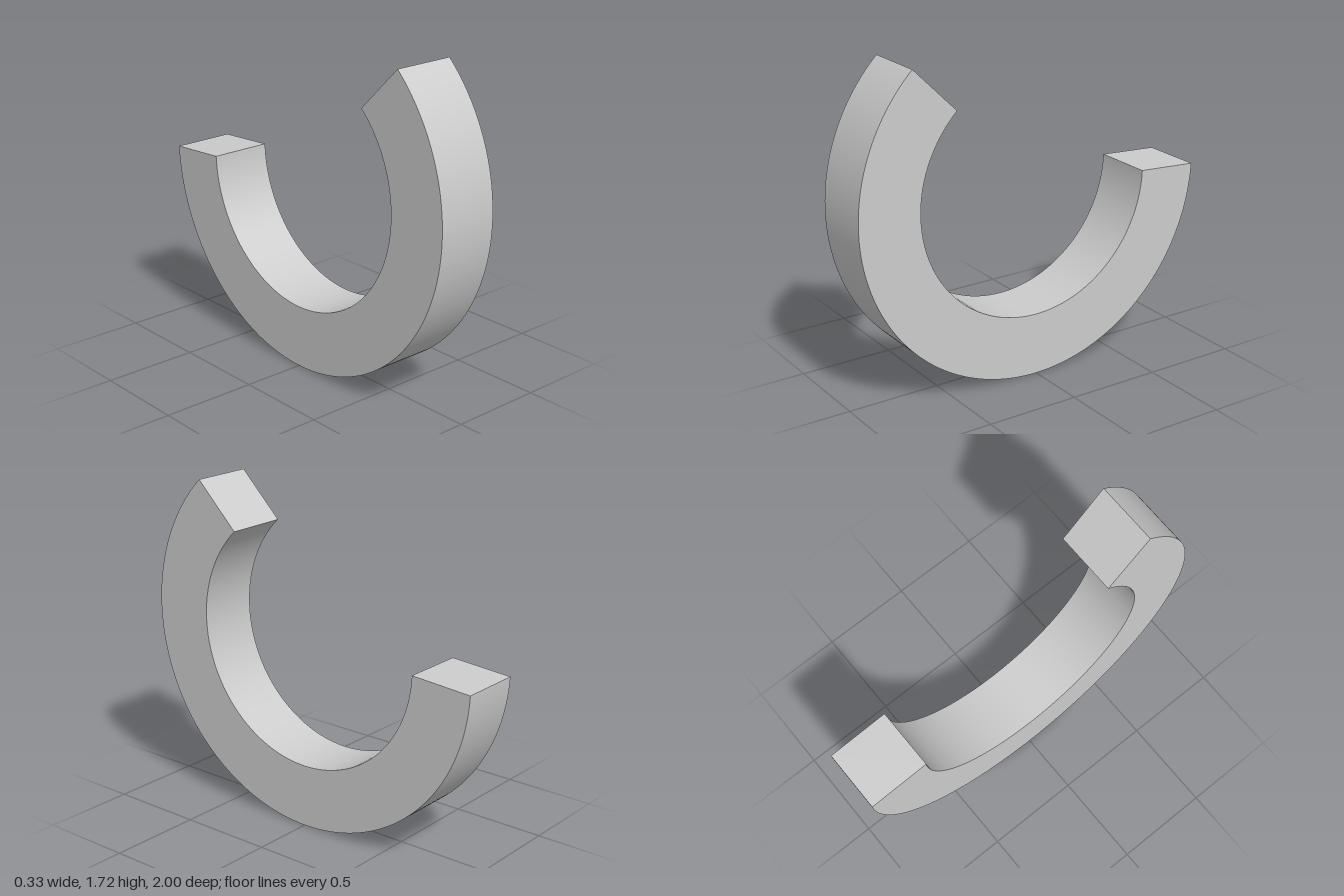
import * as THREE from 'three';
import { toCreasedNormals } from 'three/addons/utils/BufferGeometryUtils.js';

const rad = THREE.MathUtils.degToRad;

export function createModel() {
  const group = new THREE.Group();
  group.name = 'openRing';

  const outerRadius = 1;
  const innerRadius = 0.667;
  const width = 0.333;

  // Open ring profile: outer arc under the centre, then the inner arc back
  const profile = new THREE.Shape();
  profile.absarc(0, 0, outerRadius, rad(46.1), rad(-177.5), true);
  profile.absarc(0, 0, innerRadius, rad(-178.1), rad(46.8), false);

  // Extrude to the square section, then turn the profile into the z-y plane
  const extruded = new THREE.ExtrudeGeometry(profile, {
    depth: width,
    bevelEnabled: false,
    curveSegments: 96,
  });
  extruded.translate(0, 0, -width / 2);
  extruded.rotateY(-Math.PI / 2);
  extruded.translate(0, outerRadius, 0);

  const arc = new THREE.Mesh(
    toCreasedNormals(extruded, rad(30)),
    new THREE.MeshStandardMaterial({ color: 0xcccccc })
  );
  arc.name = 'ringArc';
  group.add(arc);
  return group;
}
